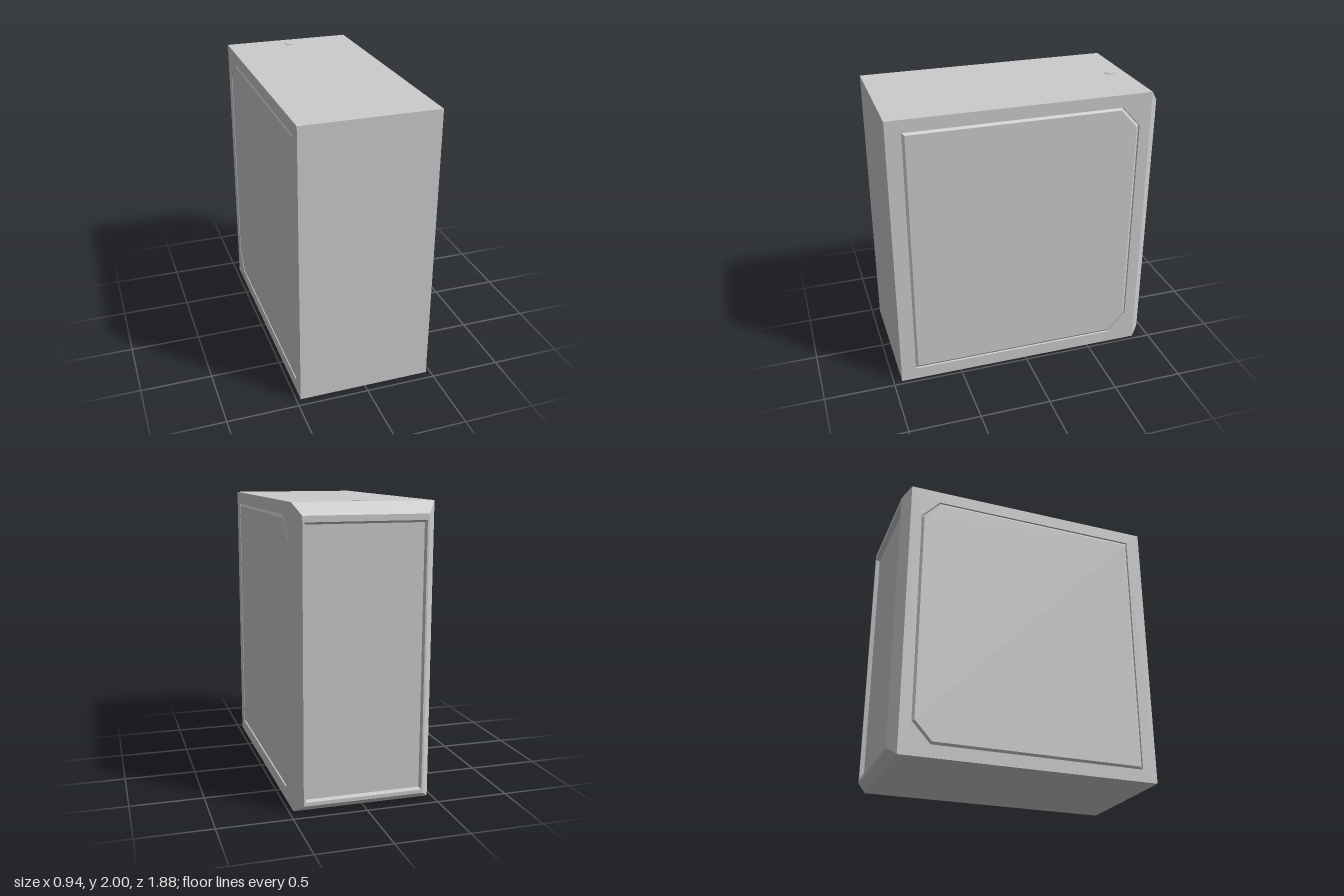
import * as THREE from 'three';

const W = 0.47, H = 2, FRONT = 0.94, SHOULDER = 0.88, BACK = 0.94;
const material = new THREE.MeshStandardMaterial({ color: 0xcccccc, flatShading: true });

// Flat-shaded surface stepping inward through matching rings of [x, y, z], closed by a cap.
function steppedPanel(name, rings) {
  const pos = [];
  const tri = (...p) => {
    const [a, b, c] = p.map(q => new THREE.Vector3(...q));
    if (b.sub(a).cross(c.sub(a)).length() > 1e-9) pos.push(...p.flat());
  };
  for (let r = 0; r + 1 < rings.length; r++) {
    const a = rings[r], b = rings[r + 1];
    a.forEach((p, i) => {
      const j = (i + 1) % a.length;
      tri(p, a[j], b[j]);
      tri(p, b[j], b[i]);
    });
  }
  const cap = rings[rings.length - 1];
  for (let i = 1; i + 1 < cap.length; i++) tri(cap[0], cap[i], cap[i + 1]);
  const geometry = new THREE.BufferGeometry();
  geometry.setAttribute('position', new THREE.Float32BufferAttribute(pos, 3));
  geometry.computeVertexNormals();
  const mesh = new THREE.Mesh(geometry, material);
  mesh.name = name;
  return mesh;
}

// Rectangle ring, counter-clockwise.
const rect = (w, y0, y1, z) => [[-w, y0, z], [w, y0, z], [w, y1, z], [-w, y1, z]];

// Side panel outline with two clipped rear corners, centred on y = 0.
function clippedOutline(inset, z) {
  const u0 = -0.835 + inset, u1 = 0.8 - inset, v = 0.912 - inset;
  const cu = 0.67 - inset * 0.5, cv = 0.77 - inset * 0.5;
  return [[u0, -v, z], [cu, -v, z], [u1, -cv, z], [u1, cv, z], [cu, v, z], [u0, v, z]];
}

function createSide(name) {
  const a = -FRONT, b = SHOULDER;
  const edge = [[a, -1, W], [b, -1, W], [b, -1, W], [b, 1, W], [b, 1, W], [a, 1, W]];
  // Outer frame, thin groove, then the panel with its bevelled rim
  const side = steppedPanel(name, [
    edge,
    clippedOutline(0, W),
    clippedOutline(0.003, W - 0.012),
    clippedOutline(0.02, W),
  ]);
  side.geometry.rotateY(Math.PI / 2);
  return side;
}

function createPlane(name, w, h) {
  const mesh = new THREE.Mesh(new THREE.PlaneGeometry(w, h), material);
  mesh.name = name;
  return mesh;
}

export function createModel() {
  const model = new THREE.Group();
  model.name = 'computerCase';

  // Plain front, top and bottom
  const front = createPlane('frontPanel', W * 2, H);
  front.position.set(0, 1, FRONT);
  const depth = FRONT + SHOULDER, midZ = (FRONT - SHOULDER) / 2;
  const top = createPlane('topPanel', W * 2, depth);
  top.rotation.x = -Math.PI / 2;
  top.position.set(0, H, midZ);
  const bottom = createPlane('bottomPanel', W * 2, depth);
  bottom.rotation.x = Math.PI / 2;
  bottom.position.z = midZ;
  model.add(front, top, bottom);

  // Grooved sides; the second is the first turned half round
  const left = createSide('leftSide');
  const right = createSide('rightSide');
  right.rotation.z = Math.PI;
  left.position.y = right.position.y = 1;
  model.add(left, right);

  // Chamfered back with a narrow rim around a recessed panel
  const back = steppedPanel('backPanel', [
    rect(W, 0, H, SHOULDER),
    rect(0.415, 0.05, 1.92, BACK),
    rect(0.402, 0.075, 1.88, BACK),
    rect(0.395, 0.085, 1.865, BACK - 0.03),
  ]);
  back.rotation.y = Math.PI;
  model.add(back);

  // Low round button on the top
  const button = new THREE.Mesh(
    new THREE.CylinderGeometry(0.047, 0.047, 0.008, 32),
    new THREE.MeshStandardMaterial({ color: 0xcccccc }));
  button.name = 'topButton';
  button.position.set(0, H, -0.78);
  model.add(button);

  return model;
}
